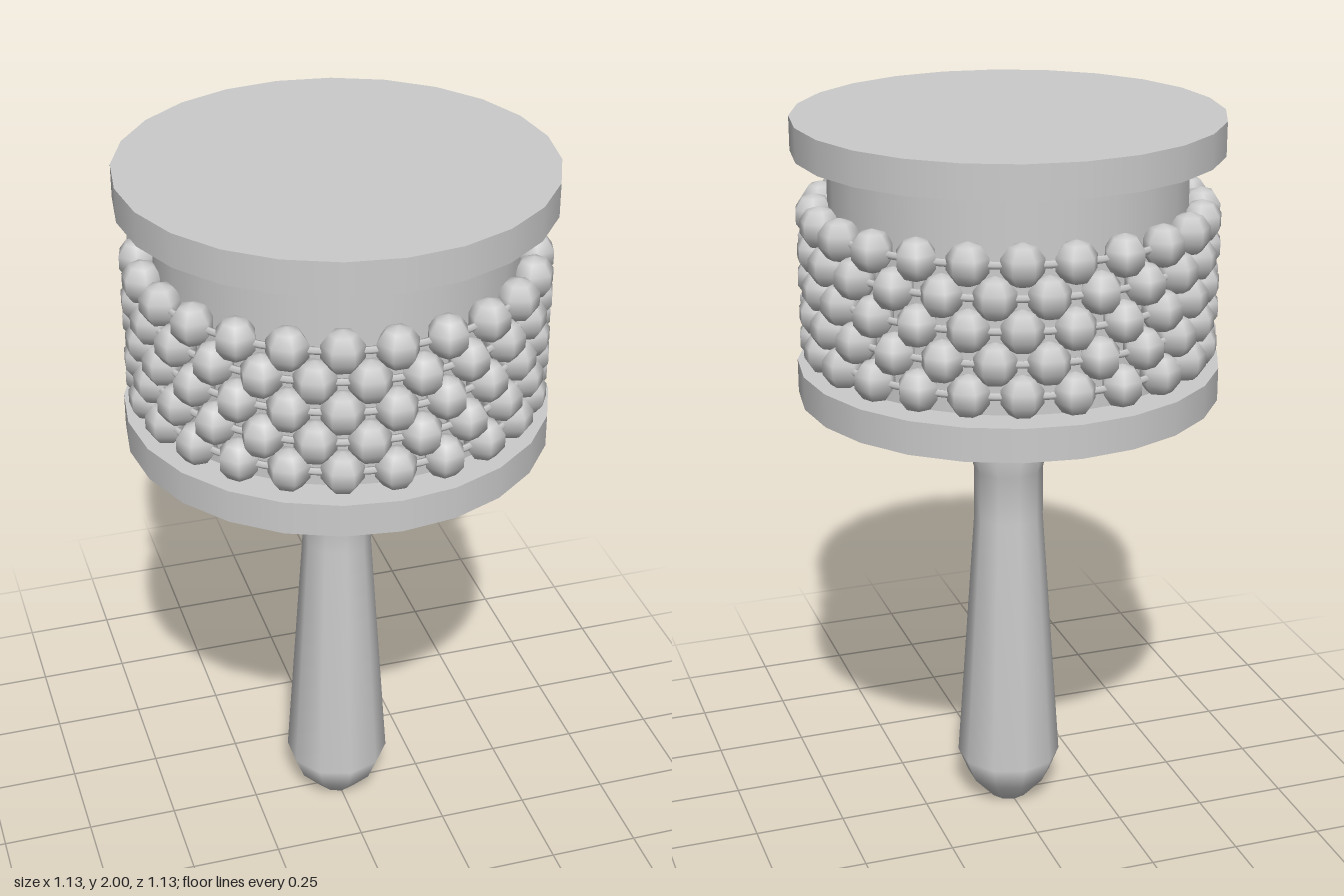
import * as THREE from 'three';

export function createModel() {
  const model = new THREE.Group();
  const material = new THREE.MeshStandardMaterial({ color: 0xcccccc });

  const add = (name, geometry, y = 0, parent = model) => {
    const mesh = new THREE.Mesh(geometry, material);
    mesh.name = name;
    mesh.position.y = y;
    parent.add(mesh);
    return mesh;
  };

  // Drum body between two end discs
  const disc = new THREE.CylinderGeometry(0.565, 0.565, 0.09, 24);
  add('topDisc', disc, 1.955);
  add('bottomDisc', disc, 1.297);
  add('drum', new THREE.CylinderGeometry(0.473, 0.473, 0.58, 24), 1.626);

  // Turned handle, flaring into the bottom disc
  const profile = [
    [0, 0], [0.054, 0], [0.054, 0], [0.117, 0.07], [0.145, 0.14],
    [0.095, 0.88], [0.095, 1.02], [0.154, 1.255], [0, 1.255],
  ].map(([r, y]) => new THREE.Vector2(r, y));
  add('handle', new THREE.LatheGeometry(profile, 10));

  // Five strings of beads, alternate rows shifted by half a bead
  const ROWS = 5, BEADS = 24, RING = 0.508;
  const bead = new THREE.SphereGeometry(0.057, 6, 5);
  const string = new THREE.TorusGeometry(RING, 0.01, 5, 48).rotateX(Math.PI / 2);
  for (let row = 0; row < ROWS; row++) {
    const strand = new THREE.Group();
    strand.name = 'beadStrand' + (row + 1);
    strand.position.y = 1.74 - row * 0.0838;
    model.add(strand);
    add('string', string, 0, strand);
    for (let i = 0; i < BEADS; i++) {
      const angle = ((i + (row % 2) / 2) / BEADS) * Math.PI * 2;
      const mesh = add('bead', bead, 0, strand);
      mesh.position.set(Math.sin(angle) * RING, 0, Math.cos(angle) * RING);
      mesh.rotation.y = angle;
    }
  }

  return model;
}
